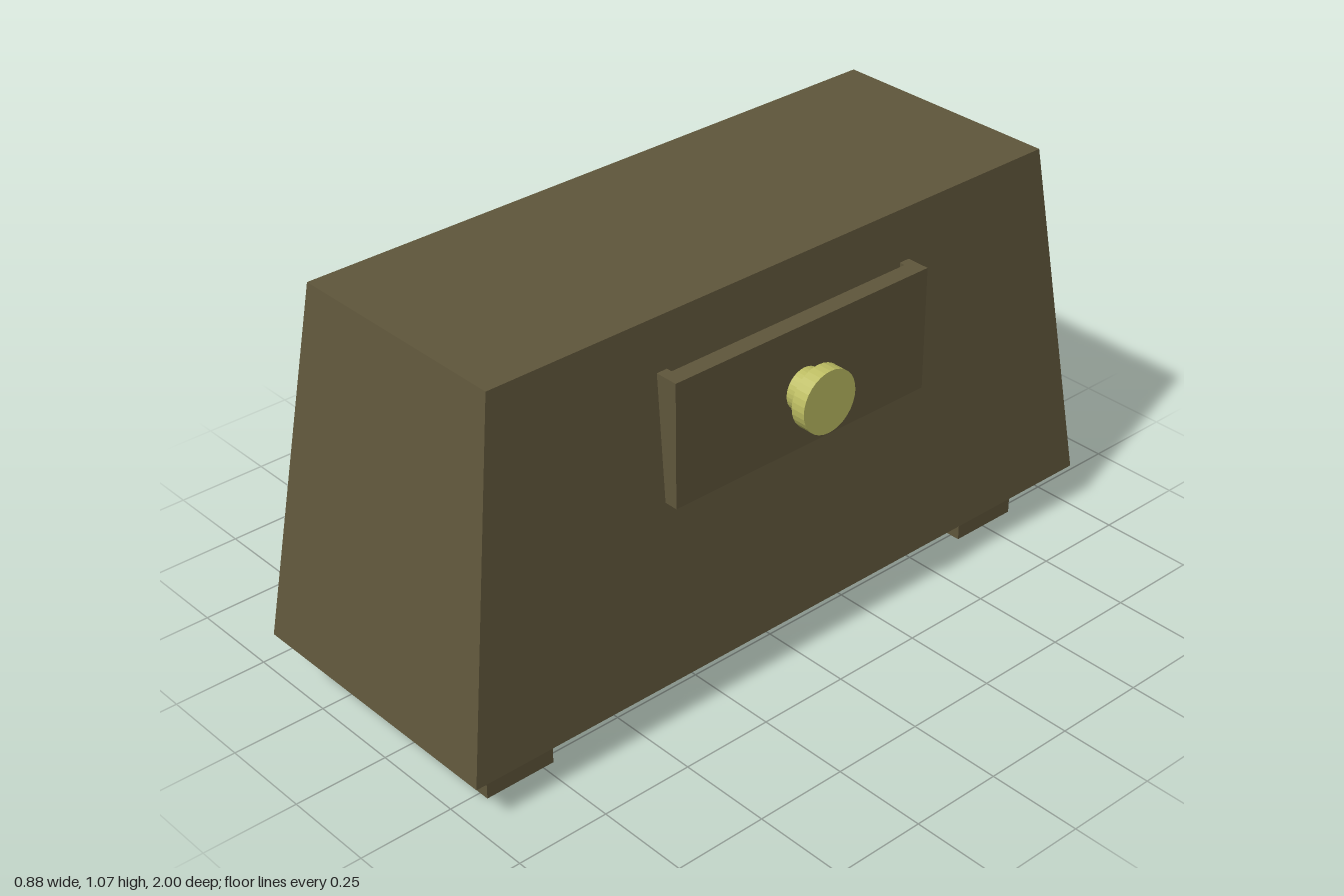
import * as THREE from 'three';

export function createModel() {
  const model = new THREE.Group();
  const wood = new THREE.MeshStandardMaterial({ color: 0x5f563b, flatShading: true });
  wood.name = 'dark wood';
  const brass = new THREE.MeshStandardMaterial({ color: 0xbcbc62, flatShading: true });
  brass.name = 'pale brass';

  const add = (name, geometry, material, parent = model) => {
    const mesh = new THREE.Mesh(geometry, material);
    mesh.name = name;
    parent.add(mesh);
    return mesh;
  };

  // Box given by its limits on each axis
  const block = (x0, x1, y0, y1, z0, z1) =>
    new THREE.BoxGeometry(x1 - x0, y1 - y0, z1 - z0)
      .translate((x0 + x1) / 2, (y0 + y1) / 2, (z0 + z1) / 2);

  // Tapered body: the top corners of a box are drawn inwards
  const bodyGeometry = new THREE.BoxGeometry(0.792, 0.947, 2);
  const p = bodyGeometry.attributes.position;
  for (let i = 0; i < p.count; i++) {
    if (p.getY(i) > 0) {
      p.setX(i, Math.sign(p.getX(i)) * 0.3225);
      p.setZ(i, Math.sign(p.getZ(i)) * 0.865);
    }
  }
  bodyGeometry.computeVertexNormals();
  bodyGeometry.translate(-0.0425, 0.118 + 0.947 / 2, 0);
  add('body', bodyGeometry, wood);

  // Two crosswise feet
  add('frontFoot', block(-0.364, 0.277, 0, 0.118, 0.72, 0.915), wood);
  add('backFoot', block(-0.364, 0.277, 0, 0.118, -0.85, -0.655), wood);

  // Open-topped drawer standing out of the side
  const drawer = new THREE.Group();
  drawer.name = 'drawer';
  model.add(drawer);
  add('drawerFront', block(0.306, 0.353, 0.6, 0.93, -0.4, 0.4), wood, drawer);
  add('drawerFloor', block(0.2, 0.306, 0.6, 0.63, -0.37, 0.37), wood, drawer);
  for (const side of [-1, 1]) {
    const wall = block(0.2, 0.306, 0.6, 0.93, -0.015, 0.015);
    add('drawerSide', wall.translate(0, 0, side * 0.385), wood, drawer);
  }

  // Round knob: narrow stem and wide cap, pointing along +x
  const knob = new THREE.Group();
  knob.name = 'knob';
  knob.position.set(0, 0.76, 0.003);
  drawer.add(knob);
  const disc = (x0, x1, radius) =>
    new THREE.CylinderGeometry(radius, radius, x1 - x0, 32)
      .rotateZ(-Math.PI / 2)
      .translate((x0 + x1) / 2, 0, 0);
  add('knobStem', disc(0.35, 0.398, 0.056), brass, knob);
  add('knobCap', disc(0.398, 0.438, 0.083), brass, knob);

  return model;
}
